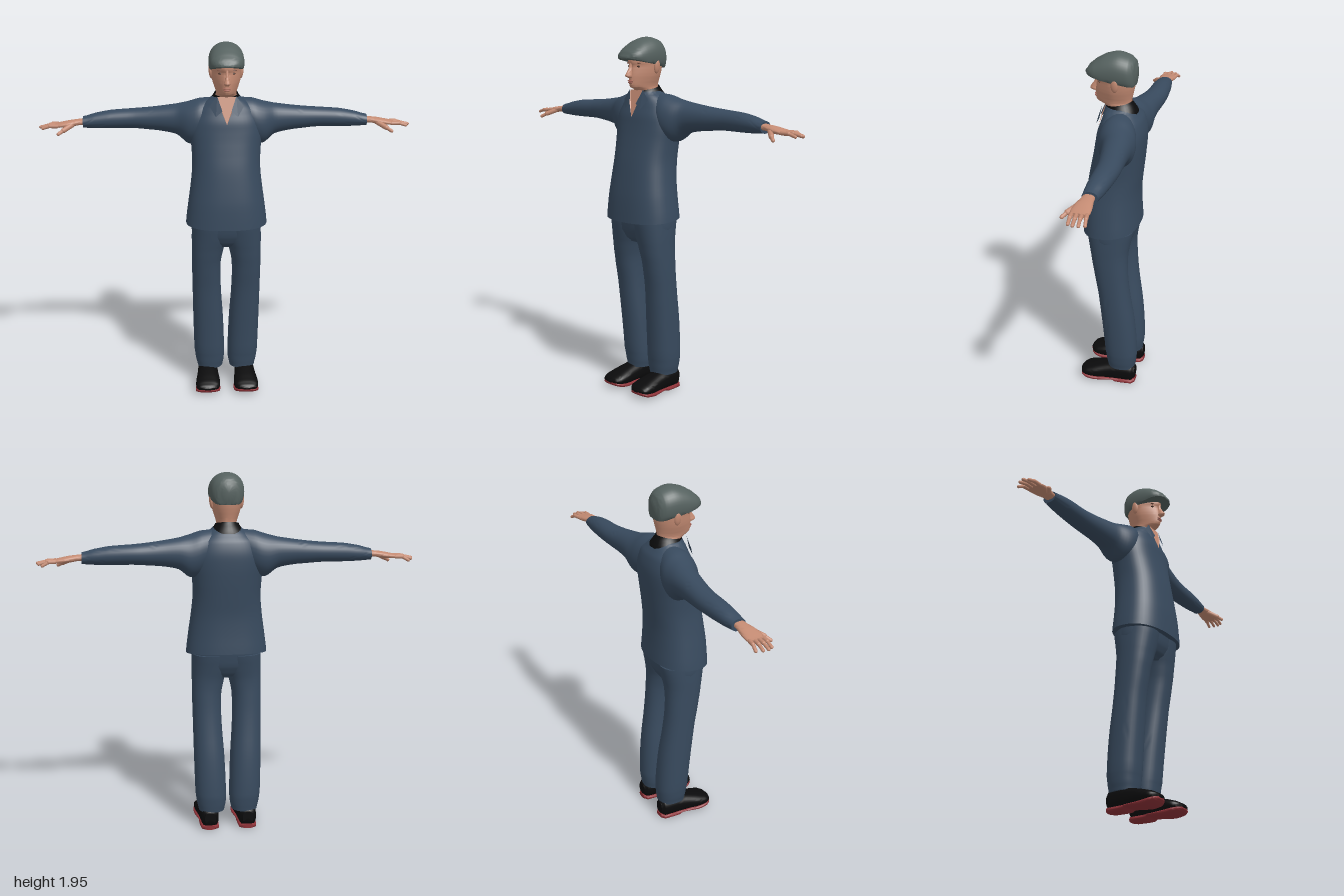
import * as THREE from 'three';
import { toCreasedNormals } from 'three/addons/utils/BufferGeometryUtils.js';

const paint = (name, color, extra = {}) => {
  const m = new THREE.MeshStandardMaterial({ color, ...extra });
  m.name = name;
  return m;
};

// Smooth in-between rows for a list of cross-sections
function refine(rows, steps) {
  const cr = (a, b, c, d, t) => 0.5 * (2 * b + (c - a) * t + (2 * a - 5 * b + 4 * c - d) * t * t + (3 * b - a - 3 * c + d) * t * t * t);
  const at = i => rows[Math.min(Math.max(i, 0), rows.length - 1)];
  const out = [];
  for (let i = 0; i < rows.length - 1; i++)
    for (let s = 0; s < steps; s++)
      out.push(rows[i].map((_, k) => k === 0
        ? rows[i][0] + (rows[i + 1][0] - rows[i][0]) * s / steps
        : cr(at(i - 1)[k], at(i)[k], at(i + 1)[k], at(i + 2)[k], s / steps)));
  out.push(at(rows.length - 1));
  return out;
}

// Loft of rounded sections [t, aMin, aMax, bMin, bMax] along an axis.
// Axis x: a = y, b = z.  Axis y: a = z, b = x.  Axis z: a = x, b = y.
function loft(axis, rows, { power = 2, steps = 4, n = 32, warp, capped = true, mirror = false } = {}) {
  const place = { x: (t, a, b) => [t, a, b], y: (t, a, b) => [b, t, a], z: (t, a, b) => [a, b, t] }[axis];
  const pos = [], idx = [], v = new THREE.Vector3();
  const put = (t, a, b) => {
    v.set(...place(t, a, b));
    if (warp) warp(v);
    pos.push(mirror ? -v.x : v.x, v.y, v.z);
  };
  const round = c => Math.sign(c) * Math.pow(Math.abs(c), 2 / power);
  const rings = refine(rows, steps);
  for (const [t, a0, a1, b0, b1] of rings)
    for (let i = 0; i < n; i++) {
      const w = i / n * Math.PI * 2;
      put(t, (a0 + a1) / 2 + (a1 - a0) / 2 * round(Math.cos(w)), (b0 + b1) / 2 + (b1 - b0) / 2 * round(Math.sin(w)));
    }
  const tri = (a, b, c) => mirror ? idx.push(a, c, b) : idx.push(a, b, c);
  for (let r = 0; r < rings.length - 1; r++)
    for (let i = 0; i < n; i++) {
      const a = r * n + i, b = r * n + (i + 1) % n;
      tri(a, b, b + n);
      tri(a, b + n, a + n);
    }
  if (capped) for (const r of [0, rings.length - 1]) {
    const [t, a0, a1, b0, b1] = rings[r], c = pos.length / 3;
    put(t, (a0 + a1) / 2, (b0 + b1) / 2);
    for (let i = 0; i < n; i++) {
      const a = r * n + i, b = r * n + (i + 1) % n;
      r ? tri(a, b, c) : tri(b, a, c);
    }
  }
  const g = new THREE.BufferGeometry();
  g.setAttribute('position', new THREE.Float32BufferAttribute(pos, 3));
  g.setIndex(idx);
  return toCreasedNormals(g, 0.9);
}

// Thin polygon fanned from its first corner
function plate(points) {
  const g = new THREE.BufferGeometry(), p = [];
  for (let i = 1; i < points.length - 1; i++) p.push(...points[0], ...points[i], ...points[i + 1]);
  g.setAttribute('position', new THREE.Float32BufferAttribute(p, 3));
  g.computeVertexNormals();
  return g;
}

// Capsule between two points
function bone(p, q, r) {
  const a = new THREE.Vector3(...p), d = new THREE.Vector3(...q).sub(a);
  const g = new THREE.CapsuleGeometry(r, d.length(), 4, 10);
  g.applyQuaternion(new THREE.Quaternion().setFromUnitVectors(new THREE.Vector3(0, 1, 0), d.clone().normalize()));
  return g.translate(a.x + d.x / 2, a.y + d.y / 2, a.z + d.z / 2);
}

const blob = (x, y, z, rx, ry, rz, tilt = 0) =>
  new THREE.SphereGeometry(1, 16, 12).scale(rx, ry, rz).rotateZ(tilt).translate(x, y, z);

export function createModel() {
  const model = new THREE.Group();
  const cloth = paint('blue cloth', 0x384a5e), skin = paint('skin', 0xc48b73), felt = paint('cap felt', 0x55615f);
  const black = paint('black leather', 0x0b0b0c), red = paint('red sole', 0x8e3238);
  const dark = paint('eye brown', 0x4a3228), brow = paint('brow brown', 0x87594a), lip = paint('lips', 0xa9685c);
  const clothSheet = paint('collar cloth', 0x384a5e, { side: THREE.DoubleSide });
  const collarBlack = paint('collar lining', 0x0b0b0c, { side: THREE.DoubleSide });
  const add = (name, geo, mat, parent = model) => {
    const m = new THREE.Mesh(geo, mat);
    m.name = name;
    parent.add(m);
  };

  // Shirt body with a hem that dips at the front
  add('shirt', loft('y', [
    [0.995, -0.145, 0.158, -0.22, 0.22], [1.1, -0.14, 0.152, -0.206, 0.206], [1.2, -0.14, 0.14, -0.192, 0.192],
    [1.3, -0.15, 0.125, -0.183, 0.183], [1.4, -0.16, 0.105, -0.187, 0.187], [1.48, -0.165, 0.09, -0.195, 0.195],
    [1.54, -0.163, 0.08, -0.188, 0.188], [1.6, -0.148, 0.06, -0.16, 0.16], [1.64, -0.12, 0.05, -0.11, 0.11],
    [1.665, -0.1, 0.042, -0.075, 0.075]], {
    power: 2.4, n: 48,
    warp: v => { if (v.y < 1.1) v.y -= (1.1 - v.y) * 0.8 * (v.z + 0.145); }
  }), cloth);

  // Hips join the two trouser legs
  add('hips', loft('y', [[0.85, -0.07, 0.07, -0.1, 0.1], [0.875, -0.09, 0.095, -0.155, 0.155], [0.92, -0.112, 0.116, -0.188, 0.188],
    [1.02, -0.125, 0.13, -0.188, 0.188]], { power: 2.4 }), cloth);

  for (const mirror of [false, true]) {
    const side = mirror ? 'right' : 'left', s = mirror ? -1 : 1;
    const flip = p => [p[0] * s, p[1], p[2]];

    add(side + 'TrouserLeg', loft('y', [
      [0.1, -0.145, 0.01, 0.02, 0.163], [0.14, -0.15, 0.016, 0.012, 0.172], [0.2, -0.154, 0.025, 0.01, 0.18],
      [0.4, -0.14, 0.042, 0.017, 0.185], [0.6, -0.112, 0.062, 0.03, 0.188], [0.75, -0.1, 0.087, 0.03, 0.19],
      [0.84, -0.1, 0.103, 0.012, 0.19], [0.9, -0.11, 0.115, -0.01, 0.19], [0.98, -0.125, 0.128, -0.02, 0.188]],
      { power: 2.3, mirror }), cloth);

    add(side + 'Sleeve', loft('x', [
      [0.05, 1.48, 1.655, -0.12, 0.02], [0.14, 1.42, 1.65, -0.15, 0.045], [0.2, 1.405, 1.632, -0.157, 0.035],
      [0.26, 1.45, 1.617, -0.156, 0.0], [0.34, 1.468, 1.605, -0.156, -0.02], [0.42, 1.476, 1.595, -0.16, -0.035],
      [0.5, 1.482, 1.588, -0.163, -0.046], [0.62, 1.482, 1.58, -0.155, -0.048], [0.7, 1.484, 1.566, -0.145, -0.05],
      [0.765, 1.488, 1.549, -0.133, -0.053]], { power: 2.1, mirror }), cloth);

    // Hand: palm, four fingers and a thumb
    const hand = new THREE.Group();
    hand.name = side + 'Hand';
    model.add(hand);
    add('palm', loft('x', [
      [0.74, 1.505, 1.54, -0.118, -0.06], [0.79, 1.503, 1.535, -0.121, -0.055], [0.83, 1.496, 1.53, -0.128, -0.042],
      [0.88, 1.493, 1.52, -0.133, -0.037], [0.912, 1.494, 1.514, -0.13, -0.043]], { power: 2.3, n: 20, mirror }), skin, hand);
    const tips = [[0.965, 1.486, -0.132], [0.985, 1.492, -0.107], [0.992, 1.495, -0.082], [0.978, 1.492, -0.056]];
    tips.forEach((tip, i) => {
      const knuckle = [0.9, 1.504, -0.121 + i * 0.0235];
      const middle = [(knuckle[0] + tip[0]) / 2, 1.504, (knuckle[2] + tip[2]) / 2];
      add('finger', bone(flip(knuckle), flip(middle), 0.0105), skin, hand);
      add('fingertip', bone(flip(middle), flip(tip), 0.0085), skin, hand);
    });
    add('thumbBase', bone(flip([0.82, 1.51, -0.06]), flip([0.865, 1.487, -0.018]), 0.0135), skin, hand);
    add('thumbTip', bone(flip([0.865, 1.487, -0.018]), flip([0.89, 1.472, 0.001]), 0.0095), skin, hand);

    // Shoe with a flat underside, and a red sole with heel, arch and raised toe
    add(side + 'Shoe', loft('z', [
      [-0.15, 0.075, 0.135, 0.03, 0.1], [-0.13, 0.058, 0.152, 0.01, 0.118], [-0.05, 0.05, 0.16, 0.01, 0.122],
      [0.02, 0.045, 0.166, 0.01, 0.108], [0.08, 0.039, 0.174, 0.01, 0.092], [0.13, 0.043, 0.174, 0.018, 0.076],
      [0.155, 0.062, 0.16, 0.028, 0.063], [0.166, 0.09, 0.13, 0.038, 0.052]],
      { power: 2.5, mirror, warp: v => { v.y = Math.max(v.y, 0.02); } }), black);
    add(side + 'Sole', loft('z', [
      [-0.151, 0.078, 0.134, 0.002, 0.026], [-0.135, 0.057, 0.153, 0, 0.026], [-0.04, 0.052, 0.159, 0, 0.026],
      [-0.025, 0.05, 0.16, 0.011, 0.026], [0.02, 0.044, 0.167, 0.009, 0.027], [0.08, 0.037, 0.176, 0.004, 0.03],
      [0.13, 0.042, 0.176, 0.011, 0.036], [0.155, 0.062, 0.161, 0.021, 0.04], [0.165, 0.088, 0.132, 0.03, 0.043]],
      { power: 3.2, mirror }), red);

    // Collar flap
    add(side + 'CollarFlap', plate([[0.05, 1.675, 0.054], [0.09, 1.622, 0.058], [0.058, 1.572, 0.085], [0.024, 1.602, 0.083]].map(flip)), clothSheet);

    // Face details and ear
    add(side + 'Eye', blob(s * 0.032, 1.797, 0.071, 0.013, 0.0055, 0.007), dark);
    add(side + 'Eyebrow', blob(s * 0.034, 1.815, 0.073, 0.018, 0.004, 0.008, -s * 0.12), brow);
    add(side + 'Ear', blob(s * 0.081, 1.796, -0.018, 0.011, 0.037, 0.019, -s * 0.12), skin);
  }

  // Collar band standing around the neck, higher at the back
  add('collarBand', loft('y', [[1.622, -0.125, 0.045, -0.102, 0.102], [1.655, -0.11, 0.048, -0.083, 0.083], [1.688, -0.092, 0.045, -0.063, 0.063]],
    { capped: false, warp: v => { v.y -= 0.2 * (v.z + 0.05); } }), collarBlack);

  // Bare skin in the open neckline
  add('neckline', plate([[0, 1.53, 0.092], [0.03, 1.605, 0.077], [0.05, 1.672, 0.052], [-0.05, 1.672, 0.052], [-0.03, 1.605, 0.077]]), skin);

  // Head and neck, narrowing toward the face
  add('head', loft('y', [
    [1.58, -0.09, 0.03, -0.058, 0.058], [1.66, -0.09, 0.038, -0.06, 0.06], [1.677, -0.09, 0.064, -0.056, 0.056],
    [1.688, -0.09, 0.092, -0.055, 0.055], [1.702, -0.091, 0.1, -0.058, 0.058], [1.72, -0.094, 0.101, -0.064, 0.064],
    [1.75, -0.101, 0.101, -0.073, 0.073], [1.78, -0.107, 0.097, -0.078, 0.078], [1.8, -0.108, 0.094, -0.08, 0.08],
    [1.82, -0.106, 0.102, -0.081, 0.081], [1.86, -0.1, 0.095, -0.08, 0.08], [1.9, -0.08, 0.06, -0.06, 0.06]], {
    n: 40, warp: v => { v.x *= 1 - 0.38 * Math.min(Math.max(v.z / 0.1, 0), 1); }
  }), skin);
  add('nose', loft('y', [
    [1.736, 0.085, 0.106, -0.011, 0.011], [1.744, 0.085, 0.128, -0.016, 0.016], [1.754, 0.085, 0.13, -0.014, 0.014],
    [1.785, 0.08, 0.11, -0.009, 0.009], [1.82, 0.08, 0.101, -0.009, 0.009]], { n: 16 }), skin);
  add('upperLip', blob(0, 1.722, 0.098, 0.021, 0.004, 0.008), lip);
  add('lowerLip', blob(0, 1.713, 0.097, 0.018, 0.005, 0.008), lip);

  // Flat cap, cut off below by a sloping rim
  add('cap', loft('z', [
    [-0.118, -0.03, 0.03, 1.81, 1.885], [-0.107, -0.062, 0.062, 1.76, 1.915], [-0.08, -0.083, 0.083, 1.755, 1.936],
    [-0.02, -0.093, 0.093, 1.755, 1.95], [0.05, -0.092, 0.092, 1.762, 1.933], [0.1, -0.083, 0.083, 1.79, 1.903],
    [0.13, -0.062, 0.062, 1.815, 1.877], [0.147, -0.03, 0.03, 1.835, 1.852]], {
    power: 2.2, n: 40, warp: v => { v.y = Math.max(v.y, 1.809 + 0.21 * v.z); }
  }), felt);

  return model;
}
